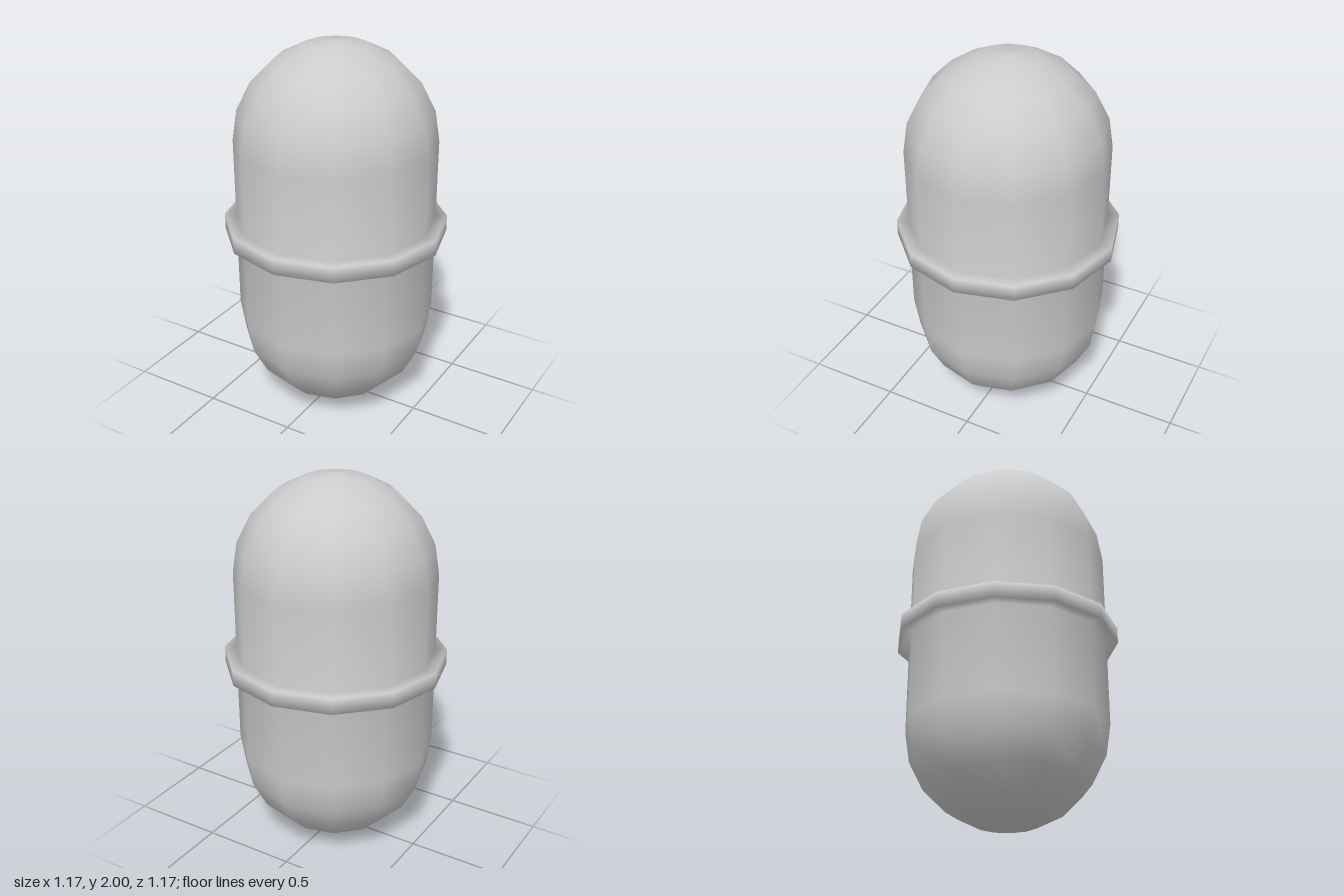
import * as THREE from 'three';

const SIDES = 12;        // low-poly round section
const RADIUS = 0.525;    // capsule radius
const RIM_RADIUS = 0.585;
const DOME_STEPS = 5;

export function createModel() {
  const group = new THREE.Group();
  group.name = 'capsule';
  const material = new THREE.MeshStandardMaterial({ color: 0xcccccc });
  const profile = [];

  // lower dome, from the bottom pole up to the wall
  for (let i = 0; i <= DOME_STEPS; i++) {
    const a = (i / DOME_STEPS) * Math.PI / 2;
    profile.push(new THREE.Vector2(RADIUS * Math.sin(a), RADIUS * (1 - Math.cos(a))));
  }

  // flat rim around the seam
  profile.push(
    new THREE.Vector2(RADIUS, 0.975),
    new THREE.Vector2(RIM_RADIUS, 0.975),
    new THREE.Vector2(RIM_RADIUS, 1.06),
    new THREE.Vector2(RADIUS, 1.06)
  );

  // upper dome, from the wall up to the top pole
  for (let i = DOME_STEPS; i >= 0; i--) {
    const a = (i / DOME_STEPS) * Math.PI / 2;
    profile.push(new THREE.Vector2(RADIUS * Math.sin(a), 2 - RADIUS * (1 - Math.cos(a))));
  }

  // one continuous smooth-shaded shell
  const shell = new THREE.Mesh(new THREE.LatheGeometry(profile, SIDES), material);
  shell.name = 'rimmedShell';
  group.add(shell);
  return group;
}
